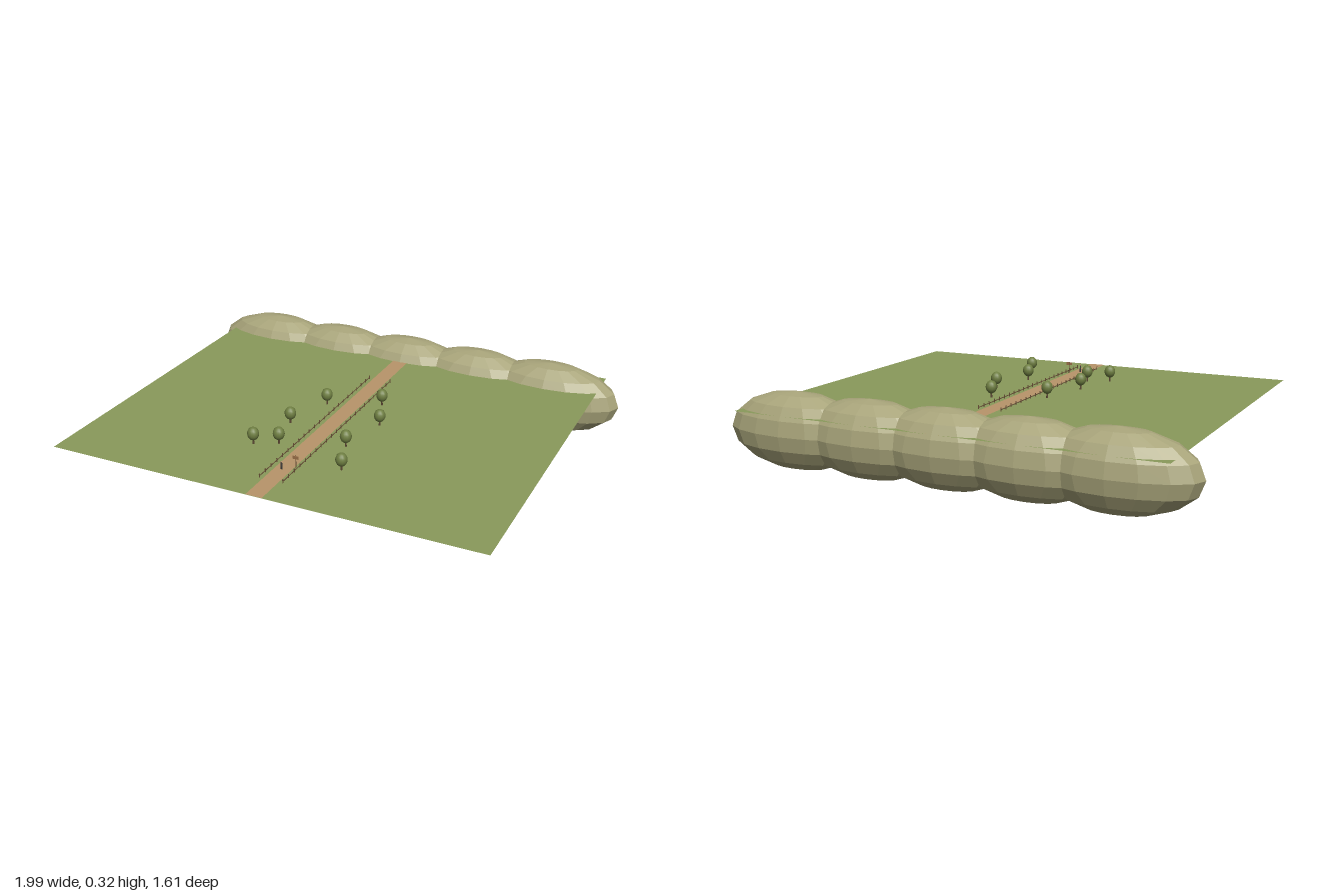
import * as THREE from 'three';

const mat = (name, color, extra = {}) => {
  const m = new THREE.MeshStandardMaterial({ color, ...extra });
  m.name = name;
  return m;
};

export function createModel() {
  const model = new THREE.Group();
  model.name = 'countryLane';

  const grass = mat('grassGreen', 0x8a9a5b, { side: THREE.DoubleSide });
  const dirt = mat('dirtTan', 0xb8956a);
  const hill = mat('hillOlive', 0xa8a47a, { flatShading: true });
  const leaf = mat('leafGreen', 0x6f7f42);
  const bark = mat('barkBrown', 0x5a4632);
  const wood = mat('fenceBrown', 0x6b5238);
  const board = mat('signBrown', 0x9a7048);
  const cloth = mat('clothDark', 0x3f3c3a);
  const skin = mat('skinTan', 0xb08868);

  const add = (parent, name, geo, material, x = 0, y = 0, z = 0) => {
    const m = new THREE.Mesh(geo, material);
    m.name = name;
    m.position.set(x, y, z);
    parent.add(m);
    return m;
  };
  const group = (name, x, z) => {
    const g = new THREE.Group();
    g.name = name;
    g.position.set(x, G, z);
    model.add(g);
    return g;
  };
  const G = 0.238; // ground level

  // Meadow and the lane across it
  add(model, 'meadow', new THREE.PlaneGeometry(1.814, 1.588).rotateX(-Math.PI / 2), grass, 0, G, 0.009);
  add(model, 'lane', new THREE.PlaneGeometry(0.068, 1.588).rotateX(-Math.PI / 2), dirt, 0, G + 0.0015, 0.009);

  // Row of overlapping hills
  const hillGeo = new THREE.SphereGeometry(1, 16, 8).scale(0.317, 0.159, 0.136);
  for (let i = -2; i <= 2; i++) add(model, 'hill', hillGeo, hill, i * 0.34, 0.16, -0.671);

  // Fences on both sides of the lane
  const postGeo = new THREE.BoxGeometry(0.003, 0.016, 0.003);
  const railGeo = new THREE.BoxGeometry(0.002, 0.003, 1.0);
  for (const side of [-1, 1]) {
    const fence = group(side > 0 ? 'leftFence' : 'rightFence', side * 0.05, 0.17);
    add(fence, 'rail', railGeo, wood, 0, 0.007, 0);
    for (let i = 0; i <= 22; i++) add(fence, 'post', postGeo, wood, 0, 0.008, -0.5 + i / 22);
  }

  // Trees
  const trunkGeo = new THREE.CylinderGeometry(0.003, 0.004, 0.03, 8);
  const crownGeo = new THREE.SphereGeometry(1, 14, 10).scale(0.024, 0.028, 0.024);
  const spots = [[0.11, -0.105], [-0.105, -0.013], [0.18, 0.077], [-0.161, 0.213],
    [0.135, 0.304], [-0.116, 0.395], [-0.207, 0.44], [0.203, 0.485]];
  for (const [x, z] of spots) {
    const tree = group('tree', x, z);
    add(tree, 'trunk', trunkGeo, bark, 0, 0.014, 0);
    add(tree, 'crown', crownGeo, leaf, 0, 0.045, 0);
  }

  // Walker on the lane
  const walker = group('walker', -0.004, 0.58);
  for (const s of [-1, 1]) {
    add(walker, 'leg', new THREE.CylinderGeometry(0.0016, 0.0016, 0.015, 6), cloth, s * 0.002, 0.0085, 0);
  }
  add(walker, 'body', new THREE.CylinderGeometry(0.003, 0.004, 0.016, 8), cloth, 0, 0.023, 0);
  add(walker, 'head', new THREE.SphereGeometry(0.0035, 8, 6), skin, 0, 0.034, 0);

  // Signpost beside the lane
  const sign = group('signpost', 0.038, 0.543);
  add(sign, 'pole', new THREE.CylinderGeometry(0.0017, 0.0017, 0.052, 6), wood, 0, 0.026, 0);
  add(sign, 'board', new THREE.BoxGeometry(0.026, 0.013, 0.002), board, 0, 0.044, 0.0022);

  return model;
}
